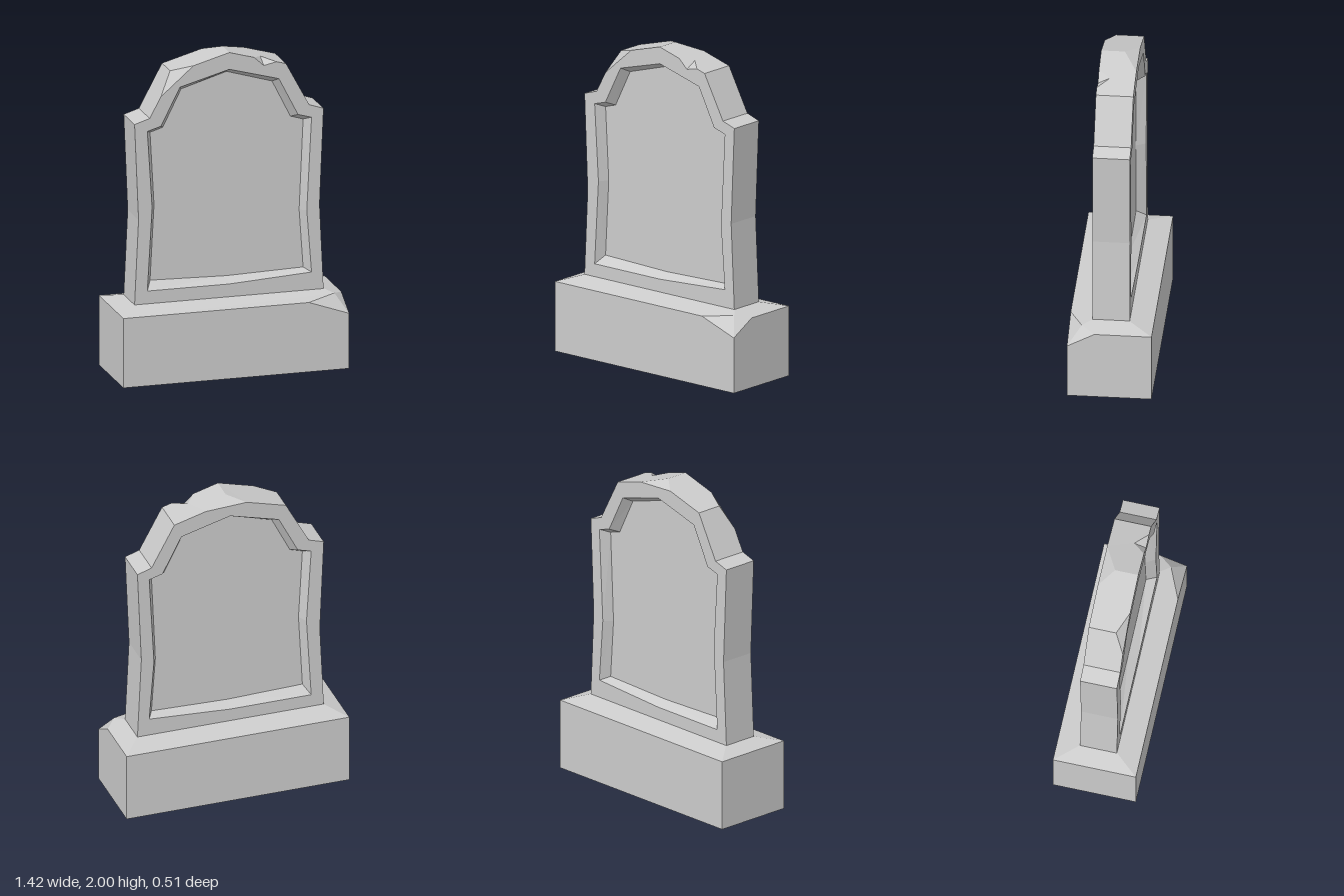
import * as THREE from 'three';

const V = (x, y, z) => new THREE.Vector3(x, y, z);

// Triangulates a flat 3D polygon (counter-clockwise from outside), optionally with a hole.
function facet(out, pts, hole = []) {
  const n = V(0, 0, 0);
  pts.forEach((p, i) => n.add(p.clone().cross(pts[(i + 1) % pts.length])));
  n.normalize();
  const u = (Math.abs(n.y) > 0.9 ? V(1, 0, 0) : V(0, 1, 0)).cross(n).normalize();
  const v = n.clone().cross(u);
  const flat = (list) => list.map((p) => new THREE.Vector2(p.dot(u), p.dot(v)));
  const all = [...pts, ...hole];
  const tris = THREE.ShapeUtils.triangulateShape(flat(pts), hole.length ? [flat(hole)] : []);
  for (const t of tris) for (const i of t) out.push(all[i].x, all[i].y, all[i].z);
}

function makeMesh(name, positions) {
  const geo = new THREE.BufferGeometry();
  geo.setAttribute('position', new THREE.Float32BufferAttribute(positions, 3));
  geo.computeVertexNormals();
  const mesh = new THREE.Mesh(geo, new THREE.MeshStandardMaterial({ color: 0xcccccc, flatShading: true }));
  mesh.name = name;
  return mesh;
}

const F = 0.113, B = -0.113, DEPTH = 0.06;

// Outlines run counter-clockwise from the lower right
const OUTLINE = [[0.59, 0.47], [0.565, 1], [0.59, 1.6], [0.5, 1.63], [0.355, 1.9], [0, 2],
  [-0.355, 1.9], [-0.5, 1.63], [-0.595, 1.6], [-0.57, 1], [-0.595, 0.47]];
const RIM = [[0.515, 0.58], [0.485, 0.97], [0.515, 1.55], [0.43, 1.575], [0.31, 1.81], [0, 1.895],
  [-0.31, 1.81], [-0.43, 1.575], [-0.515, 1.55], [-0.485, 1.07], [-0.515, 0.55], [0, 0.55]];
const PANEL = [[0.48, 0.598], [0.455, 0.96], [0.48, 1.525], [0.4, 1.55], [0.285, 1.78], [0, 1.865],
  [-0.285, 1.78], [-0.4, 1.55], [-0.48, 1.525], [-0.455, 1.07], [-0.48, 0.598], [0, 0.585]];
const at = (list, z) => list.map(([x, y]) => V(x, y, z));

function makeSlab() {
  const slab = new THREE.Group();
  slab.name = 'slab';
  const f = at(OUTLINE, F), b = at(OUTLINE, B);

  // Chip corners: notch in the right slope, left shoulder, back of the peak
  const notch = [V(0.155, 1.956, F), V(0.215, 1.9, F), V(0.295, 1.917, F), V(0.215, 1.939, 0.04)];
  const shoulder = [V(-0.43, 1.76, F), V(-0.225, 1.937, F), V(-0.355, 1.9, 0.055)];
  const peak = [V(0.155, 1.956, B), V(-0.105, 1.97, B), V(0, 2, -0.03)];

  // Edge walls, with the chipped ones spelled out
  const walls = [];
  for (let i = 0; i < 10; i++) {
    if (i < 4 || i > 6) facet(walls, [f[i], b[i], b[i + 1], f[i + 1]]);
  }
  facet(walls, [f[4], b[4], peak[0], peak[2], f[5], notch[0], notch[3], notch[2]]);
  facet(walls, [f[5], peak[2], peak[1], b[6], shoulder[2], shoulder[1]]);
  facet(walls, [shoulder[2], b[6], b[7], f[7], shoulder[0]]);
  slab.add(makeMesh('slabEdge', walls));

  const chips = [];
  facet(chips, [notch[0], notch[1], notch[3]]);
  facet(chips, [notch[1], notch[2], notch[3]]);
  facet(chips, shoulder);
  facet(chips, peak);
  slab.add(makeMesh('slabChips', chips));

  // Front and back frames, each around a recessed panel with sloped edges
  const frontEdge = [...f.slice(0, 5), notch[2], notch[1], notch[0], f[5],
    shoulder[1], shoulder[0], ...f.slice(7)];
  const backEdge = [...b.slice(0, 5), peak[0], peak[1], ...b.slice(6)];
  for (const [side, edge, z, s] of [['front', frontEdge, F, 1], ['back', backEdge, B, -1]]) {
    const turn = (list) => (s > 0 ? list : list.slice().reverse());
    const rim = at(RIM, z), inner = at(PANEL, z - s * DEPTH);
    const frame = [], bevel = [], panel = [];
    facet(frame, turn(edge), turn(rim));
    facet(panel, turn(inner));
    rim.forEach((p, i) => {
      const j = (i + 1) % rim.length;
      facet(bevel, turn([p, rim[j], inner[j]]));
      facet(bevel, turn([p, inner[j], inner[i]]));
    });
    slab.add(makeMesh(side + 'Frame', frame), makeMesh(side + 'Bevel', bevel), makeMesh(side + 'Panel', panel));
  }
  return slab;
}

function makeBase() {
  const X = 0.708, Z = 0.255, H = 0.435, T = 0.47;
  const ring = (x, y, z) => [V(-x, y, z), V(x, y, z), V(x, y, -z), V(-x, y, -z)];
  const lo = ring(X, 0, Z), mid = ring(X, H, Z), top = ring(0.593, T, F);

  // The front corner on the model's left is broken off
  const a = V(0.455, H, Z), c = V(X, 0.345, Z), d = V(X, H, 0.09), h = V(0.64, 0.455, 0.172);
  const p = [];
  facet(p, [lo[0], lo[1], c, a, mid[0]]);
  facet(p, [lo[1], lo[2], mid[2], d, c]);
  facet(p, [lo[2], lo[3], mid[3], mid[2]]);
  facet(p, [lo[3], lo[0], mid[0], mid[3]]);
  facet(p, [lo[3], lo[2], lo[1], lo[0]]);

  // Sloped top
  facet(p, [mid[0], a, h, top[1], top[0]]);
  facet(p, [d, mid[2], top[2], top[1], h]);
  facet(p, [mid[2], mid[3], top[3], top[2]]);
  facet(p, [mid[3], mid[0], top[0], top[3]]);
  facet(p, top);

  // Broken corner
  facet(p, [a, c, h]);
  facet(p, [c, d, h]);
  return makeMesh('base', p);
}

export function createModel() {
  const model = new THREE.Group();
  model.name = 'gravestone';
  model.add(makeBase(), makeSlab());
  return model;
}
